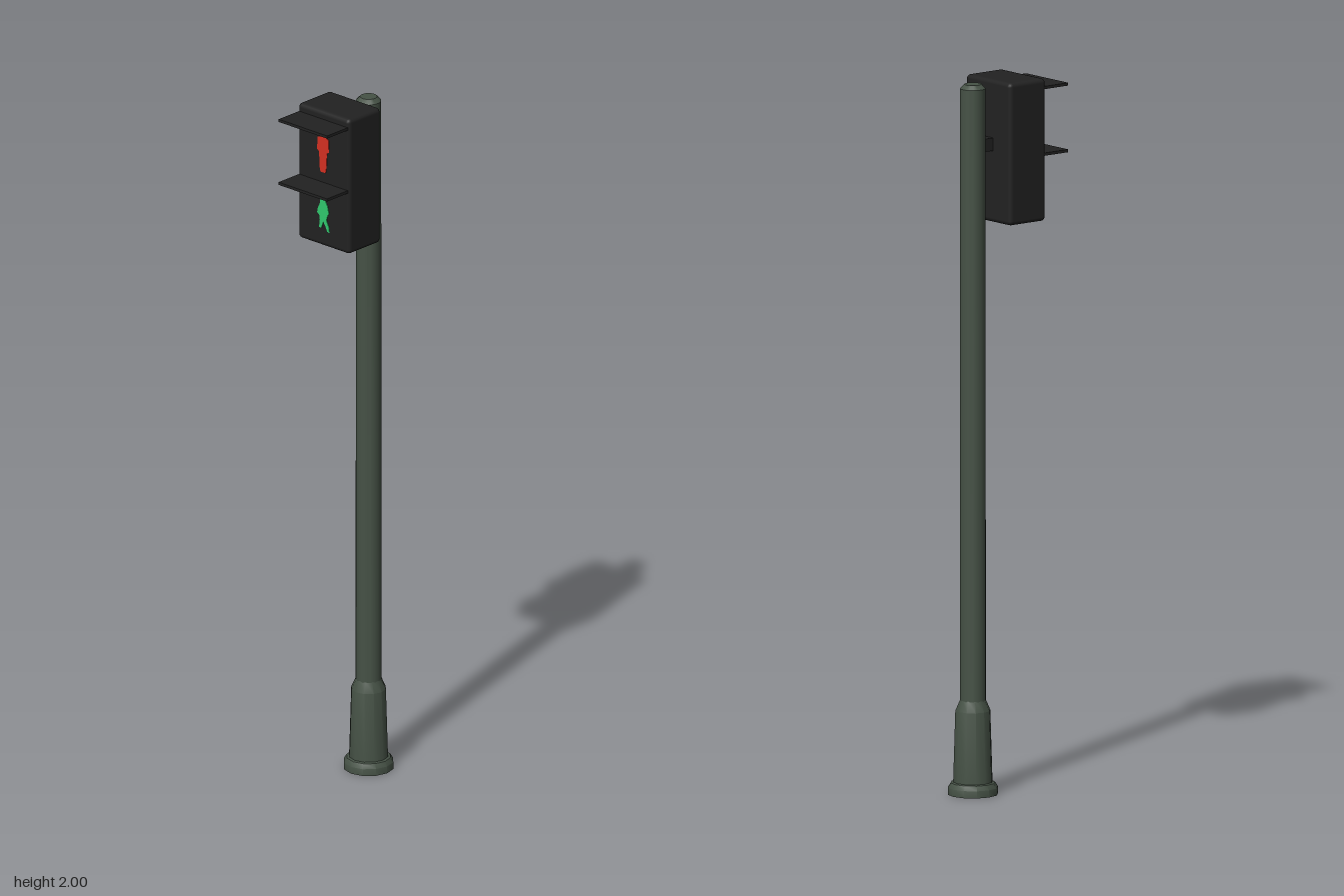
import * as THREE from 'three';
import { toCreasedNormals } from 'three/addons/utils/BufferGeometryUtils.js';
import { RoundedBoxGeometry } from 'three/addons/geometries/RoundedBoxGeometry.js';

const material = (name, color) => {
  const m = new THREE.MeshStandardMaterial({ color });
  m.name = name;
  return m;
};

export function createModel() {
  const model = new THREE.Group();
  model.name = 'pedestrianSignal';
  const poleGreen = material('poleGreen', 0x465246);
  const housingBlack = material('housingBlack', 0x222222);
  const stopRed = material('stopRed', 0xd63022);
  const walkGreen = material('walkGreen', 0x30c96e);

  const add = (name, geometry, mat, x, y, z) => {
    const mesh = new THREE.Mesh(geometry, mat);
    mesh.name = name;
    mesh.position.set(x, y, z);
    model.add(mesh);
    return mesh;
  };
  const lathe = (points, sides) => toCreasedNormals(
    new THREE.LatheGeometry(points.map(([r, y]) => new THREE.Vector2(r, y)), sides), 0.6);

  // Flanged base and pole with a bevelled cap
  const poleZ = -0.098;
  add('base', lathe([[0, 0], [0.07, 0], [0.07, 0.02], [0.062, 0.033], [0.055, 0.035],
    [0.049, 0.235], [0.036, 0.265]], 12), poleGreen, 0, 0, poleZ);
  add('pole', lathe([[0.036, 0.255], [0.035, 1.98], [0.024, 1.992], [0, 1.992]], 20),
    poleGreen, 0, 0, poleZ);

  // Signal housing and its bracket
  add('housing', new RoundedBoxGeometry(0.194, 0.4, 0.13, 2, 0.012), housingBlack, 0, 1.8, 0.02);
  add('bracket', new THREE.BoxGeometry(0.048, 0.036, 0.05), housingBlack, 0, 1.82, -0.062);

  // Flat visors above each lamp
  for (const [name, y] of [['upperVisor', 1.973], ['lowerVisor', 1.786]]) {
    add(name, new THREE.BoxGeometry(0.182, 0.008, 0.09), housingBlack, 0, y, 0.123);
  }

  // Lit figures as thin plates
  const figure = (name, points, mat, y) => {
    const shape = new THREE.Shape(points.map(([px, py]) => new THREE.Vector2(px, py)));
    add(name, new THREE.ExtrudeGeometry(shape, { depth: 0.002, bevelEnabled: false }),
      mat, 0, y, 0.0845);
  };
  // Standing figure: one half outline, mirrored
  const half = [[0.009, 0.058], [0.011, 0.046], [0.021, 0.042], [0.022, 0.006],
    [0.015, 0.001], [0.012, -0.05], [0.009, -0.058], [0.001, -0.058]];
  figure('standingFigure', [...half, ...half.map(([x, y]) => [-x, y]).reverse()], stopRed, 1.878);
  figure('walkingFigure', [[-0.009, 0.05], [0.004, 0.052], [0.008, 0.04], [0.017, 0.025],
    [0.022, 0.004], [0.017, -0.002], [0.013, -0.018], [0.023, -0.038], [0.024, -0.052],
    [0.016, -0.05], [0.008, -0.034], [0.001, -0.025], [-0.006, -0.044], [-0.015, -0.044],
    [-0.012, -0.022], [-0.014, -0.008], [-0.022, -0.002], [-0.021, 0.008],
    [-0.012, 0.028]], walkGreen, 1.698);

  return model;
}
